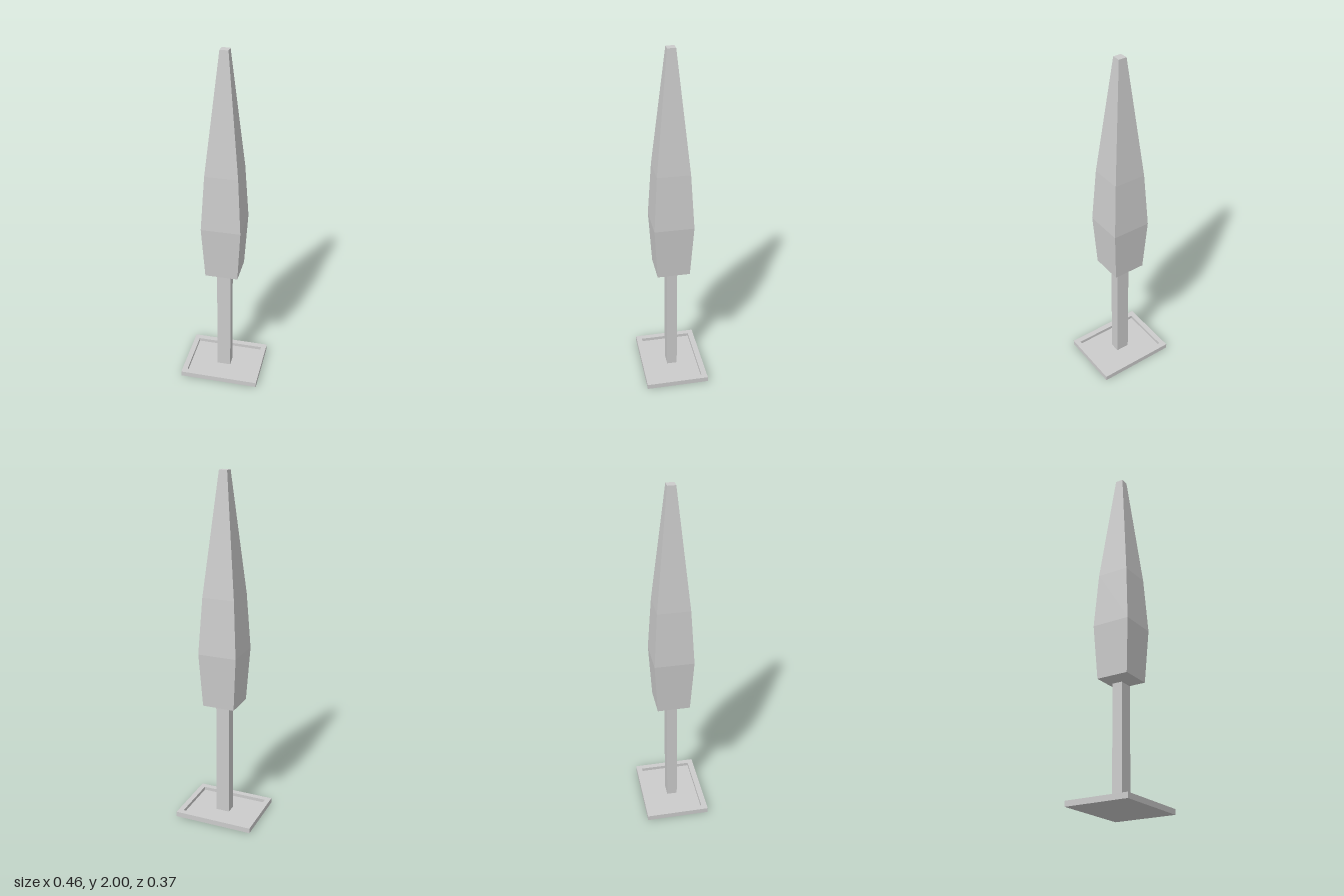
import * as THREE from 'three';

const material = new THREE.MeshStandardMaterial({ color: 0xcccccc, flatShading: true });

function rectangle(PathType, width, depth) {
  const x = width / 2, y = depth / 2;
  const path = new PathType();
  path.moveTo(-x, -y);
  path.lineTo(x, -y);
  path.lineTo(x, y);
  path.lineTo(-x, y);
  path.closePath();
  return path;
}

function addPart(parent, name, geometry, y = 0) {
  const mesh = new THREE.Mesh(geometry, material);
  mesh.name = name;
  mesh.position.y = y;
  parent.add(mesh);
}

export function createModel() {
  const tree = new THREE.Group();
  tree.name = 'columnarTree';

  // Shallow planter tray: a raised rim around a sunken floor
  const width = 0.462, depth = 0.366, height = 0.03, floor = 0.01;
  const rim = rectangle(THREE.Shape, width, depth);
  rim.holes.push(rectangle(THREE.Path, 0.4, 0.3));
  const rimGeometry = new THREE.ExtrudeGeometry(rim, { depth: height, bevelEnabled: false });
  rimGeometry.rotateX(-Math.PI / 2);
  addPart(tree, 'trayRim', rimGeometry);
  addPart(tree, 'trayFloor', new THREE.BoxGeometry(0.4, floor, 0.3), floor / 2);

  // Rectangular trunk, running from the tray floor into the foliage
  const trunkTop = 0.7;
  addPart(tree, 'trunk', new THREE.BoxGeometry(0.08, trunkTop - floor, 0.06), (trunkTop + floor) / 2);

  // Four-sided foliage: [half width, height], closed at both ends
  const profile = [
    [0, 0.675], [0.037, 0.675], [0.093, 0.7], [0.111, 1.01],
    [0.092, 1.33], [0.023, 2], [0, 2],
  ].map(([half, y]) => new THREE.Vector2(half * Math.SQRT2, y));
  addPart(tree, 'foliage', new THREE.LatheGeometry(profile, 4, Math.PI / 4));

  return tree;
}
